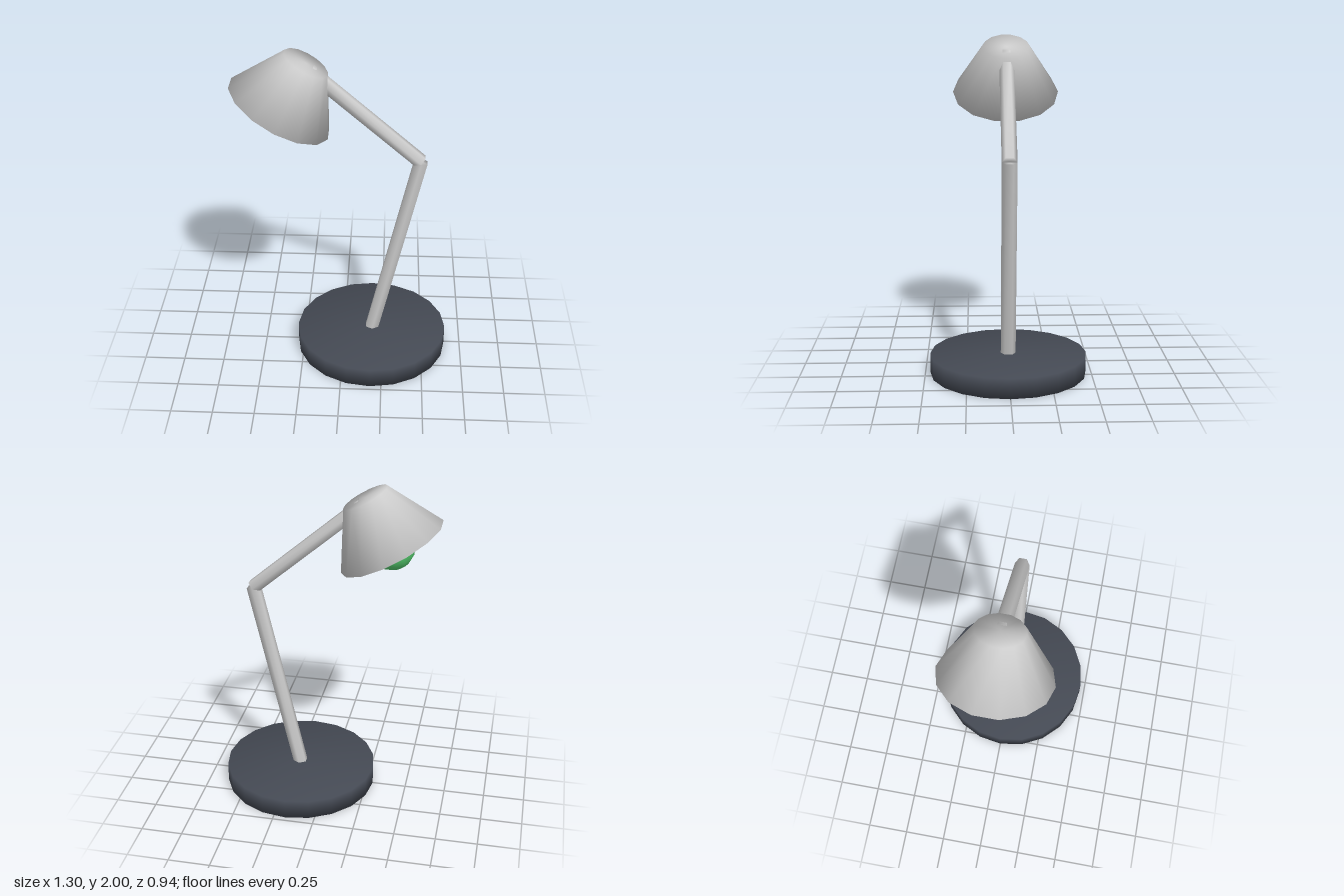
import * as THREE from 'three';
import { mergeVertices } from 'three/addons/utils/BufferGeometryUtils.js';

const grey = new THREE.MeshStandardMaterial({ color: 0xcccccc });
const darkGrey = new THREE.MeshStandardMaterial({ color: 0x444953 });
const green = new THREE.MeshStandardMaterial({ color: 0x55cc6e });

// Weld all corners so the shading runs smoothly over every edge
function weld(geometry) {
  geometry.deleteAttribute('normal');
  geometry.deleteAttribute('uv');
  const welded = mergeVertices(geometry, 1e-4);
  welded.computeVertexNormals();
  return welded;
}

// Closed frustum running between two points in the z = 0 plane
function frustum(name, from, to, rFrom, rTo, sides, material) {
  const dx = to[0] - from[0];
  const dy = to[1] - from[1];
  const geometry = new THREE.CylinderGeometry(rTo, rFrom, Math.hypot(dx, dy), sides);
  const mesh = new THREE.Mesh(weld(geometry), material);
  mesh.name = name;
  mesh.position.set((from[0] + to[0]) / 2, (from[1] + to[1]) / 2, 0);
  mesh.rotation.z = Math.atan2(-dx, dy);
  return mesh;
}

export function createModel() {
  const lamp = new THREE.Group();
  lamp.name = 'deskLamp';

  // Weighted round foot
  lamp.add(frustum('base', [0.18, 0], [0.18, 0.12], 0.47, 0.47, 20, darkGrey));

  // Two hexagonal arms meeting at the elbow
  const elbow = [0.457, 1.322];
  lamp.add(frustum('lowerArm', [0.176, 0.08], elbow, 0.045, 0.045, 6, grey));
  lamp.add(frustum('upperArm', elbow, [-0.195, 1.888], 0.045, 0.045, 6, grey));

  // Tilted shade, wide rim to narrow crown
  const rim = [-0.37, 1.648];
  const shade = frustum('shade', rim, [-0.212, 1.935], 0.33, 0.142, 14, grey);
  lamp.add(shade);

  // Bulb half sunk into the shade
  const bulb = new THREE.Mesh(new THREE.SphereGeometry(0.137, 12, 8), green);
  bulb.name = 'bulb';
  bulb.position.set(rim[0], rim[1], 0);
  bulb.rotation.z = shade.rotation.z;
  lamp.add(bulb);

  return lamp;
}
